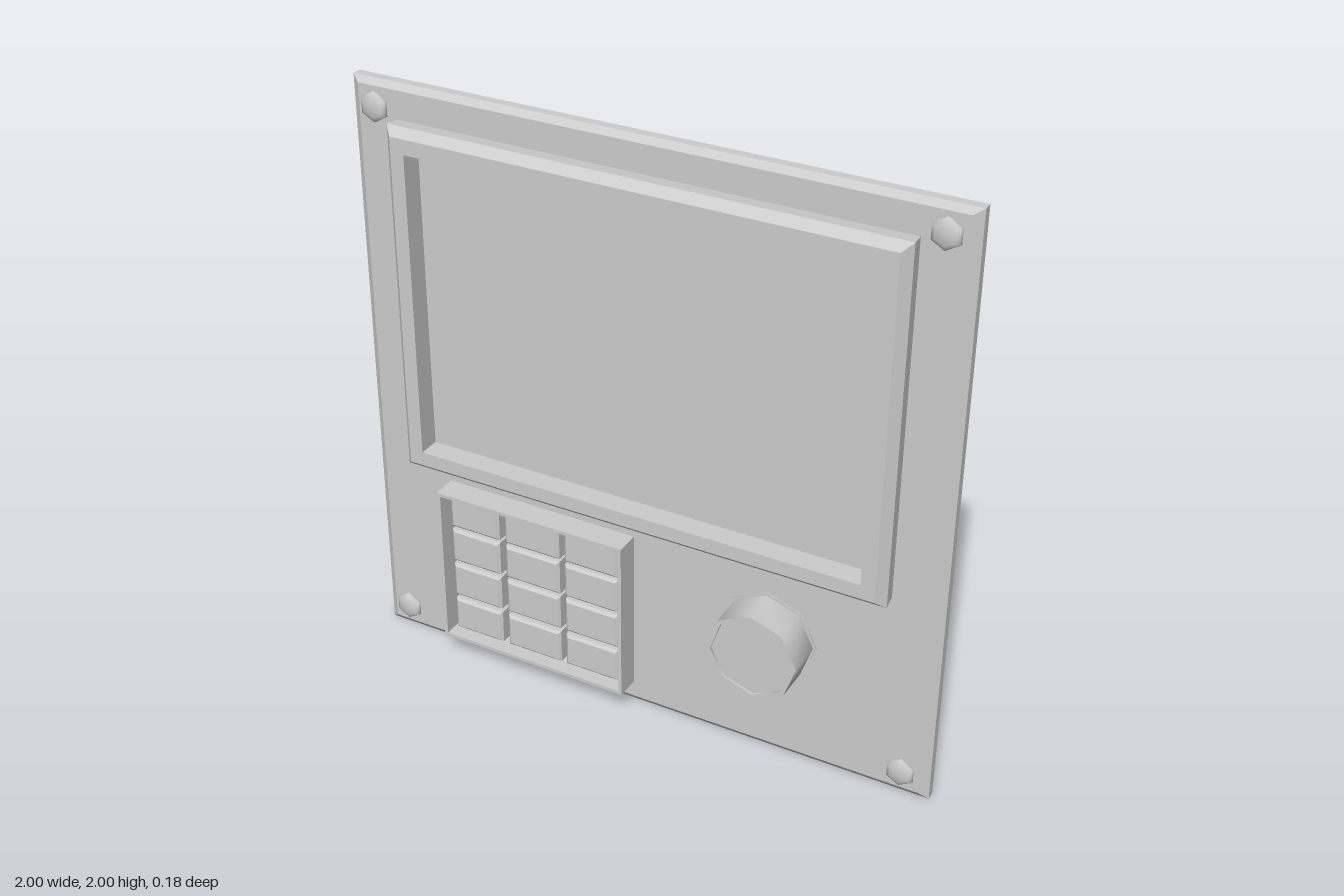
import * as THREE from 'three';
import { toCreasedNormals } from 'three/addons/utils/BufferGeometryUtils.js';

const material = new THREE.MeshStandardMaterial({ color: 0xcccccc });

function addMesh(parent, name, geometry) {
  const mesh = new THREE.Mesh(geometry, material);
  mesh.name = name;
  parent.add(mesh);
  return mesh;
}

// Flat-faced loft through rectangles [x0, x1, y0, y1, z], back to front, capped at both ends
function loftRects(rects) {
  const rings = rects.map(([x0, x1, y0, y1, z]) =>
    [[x0, y0, z], [x1, y0, z], [x1, y1, z], [x0, y1, z]]);
  const pos = [];
  const quad = (a, b, c, d) => pos.push(...a, ...b, ...c, ...a, ...c, ...d);
  for (let r = 0; r < rings.length - 1; r++) {
    const a = rings[r], b = rings[r + 1];
    for (let i = 0; i < 4; i++) {
      const j = (i + 1) % 4;
      quad(a[i], a[j], b[j], b[i]);
    }
  }
  quad(...rings[rings.length - 1]);
  quad(...[...rings[0]].reverse());
  const g = new THREE.BufferGeometry();
  g.setAttribute('position', new THREE.Float32BufferAttribute(pos, 3));
  g.computeVertexNormals();
  return g;
}

// Turned shape with its axis along +z; profile is [radius, z] pairs
function turned(profile, sides, crease) {
  const pts = profile.map(([r, z]) => new THREE.Vector2(r, z));
  const g = new THREE.LatheGeometry(pts, sides).rotateX(Math.PI / 2);
  return toCreasedNormals(g, crease);
}

export function createModel() {
  const group = new THREE.Group();
  const face = -0.04; // front surface of the backplate

  // Backplate with bevelled front edge
  addMesh(group, 'backplate', loftRects([
    [-1, 1, 0, 2, -0.09],
    [-1, 1, 0, 2, -0.06],
    [-0.972, 0.972, 0.025, 1.982, face],
  ]));

  // Bevelled screen surround, recessed down to the screen
  addMesh(group, 'screenFrame', loftRects([
    [-0.835, 0.835, 0.72, 1.89, face],
    [-0.84, 0.84, 0.715, 1.895, 0.01],
    [-0.812, 0.812, 0.742, 1.87, 0.04],
    [-0.765, 0.765, 0.79, 1.82, 0.04],
    [-0.765, 0.765, 0.79, 1.82, face + 0.004],
  ]));

  // Keypad tray with a thin rim
  const keypad = new THREE.Group();
  keypad.name = 'keypad';
  group.add(keypad);
  addMesh(keypad, 'keypadTray', loftRects([
    [-0.715, -0.032, 0.085, 0.655, face],
    [-0.715, -0.032, 0.085, 0.655, 0.045],
    [-0.703, -0.044, 0.097, 0.643, 0.045],
    [-0.703, -0.044, 0.097, 0.643, face + 0.004],
  ]));

  // Three columns by four rows of keys
  const columns = [[-0.688, -0.505], [-0.482, -0.28], [-0.26, -0.065]];
  const rows = [[0.105, 0.225], [0.24, 0.365], [0.378, 0.502], [0.513, 0.635]];
  const b = 0.009;
  for (const [x0, x1] of columns) {
    for (const [y0, y1] of rows) {
      addMesh(keypad, 'key', loftRects([
        [x0, x1, y0, y1, face],
        [x0, x1, y0, y1, 0.004],
        [x0 + b, x1 - b, y0 + b, y1 - b, 0.012],
      ]));
    }
  }

  // Eight-sided control knob with a thin base flange and a shallow dished face
  const knob = addMesh(group, 'knob', turned([
    [0.163, face], [0.163, face + 0.004], [0.153, face + 0.004],
    [0.153, 0.088], [0.137, 0.088], [0.137, 0.08], [0, 0.08],
  ], 8, 0.9));
  knob.position.set(0.443, 0.438, 0);
  knob.rotation.z = 0.07;

  // Domed hexagonal bolts at the corners
  for (const x of [-0.91, 0.91]) {
    for (const y of [0.093, 1.92]) {
      const bolt = addMesh(group, 'bolt', turned([
        [0.042, face], [0.05, -0.033], [0.048, -0.024], [0.034, -0.016], [0, -0.013],
      ], 6, 1.2));
      bolt.position.set(x, y, 0);
    }
  }

  return group;
}
